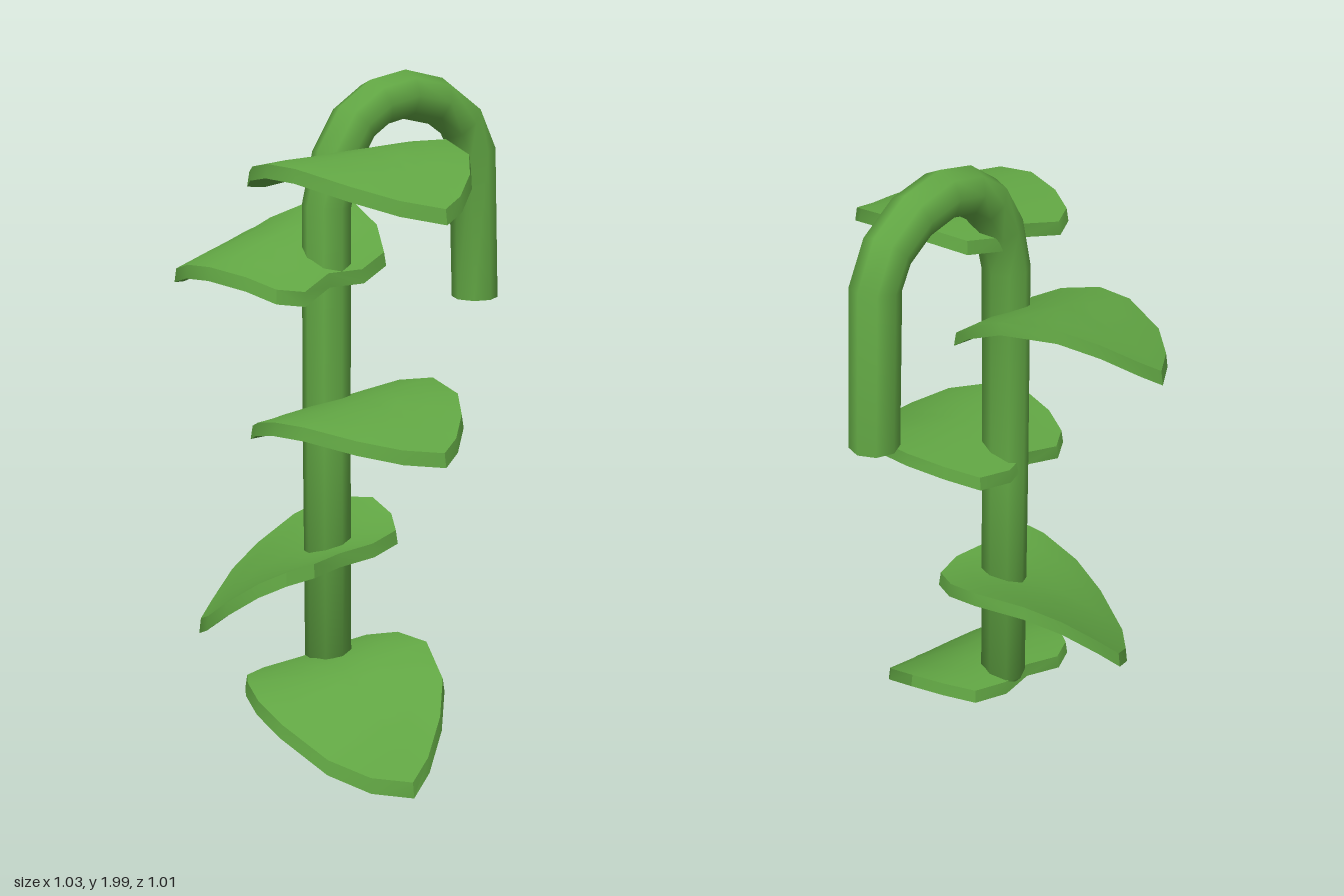
import * as THREE from 'three';
import { toCreasedNormals } from 'three/addons/utils/BufferGeometryUtils.js';

// Skins a list of closed rings of points; collapsed triangles are skipped.
function loft(rings, flip, crease) {
  const pos = [];
  const area = new THREE.Triangle();
  const tri = (a, b, c) => {
    if (area.set(a, b, c).getArea() < 1e-9) return;
    for (const p of flip ? [a, c, b] : [a, b, c]) pos.push(p.x, p.y, p.z);
  };
  for (let k = 0; k < rings.length - 1; k++) {
    const lo = rings[k], hi = rings[k + 1], n = lo.length;
    for (let i = 0; i < n; i++) {
      const j = (i + 1) % n;
      tri(lo[i], lo[j], hi[j]);
      tri(lo[i], hi[j], hi[i]);
    }
  }
  const geo = new THREE.BufferGeometry();
  geo.setAttribute('position', new THREE.Float32BufferAttribute(pos, 3));
  return toCreasedNormals(geo, crease);
}

const STEM_X = -0.025, STEM_Z = 0.155;

// Stem centre line with radius: [z, y, r], from the pointed foot to the cut hook end
const STEM = [
  [0.155, 0.195, 0], [0.155, 0.235, 0.04], [0.155, 0.27, 0.07], [0.155, 1.0, 0.07],
  [0.15, 1.64, 0.07], [0.115, 1.77, 0.07], [0.05, 1.865, 0.07], [-0.035, 1.915, 0.07],
  [-0.14, 1.932, 0.07], [-0.26, 1.905, 0.07], [-0.36, 1.84, 0.07], [-0.41, 1.75, 0.07],
  [-0.43, 1.3001, 0.07], [-0.43, 1.3, 0],
];

function stemGeometry() {
  const last = STEM.length - 1, sides = 8;
  const rings = STEM.map(([z, y, r], k) => {
    const a = STEM[Math.max(k - 1, 0)], b = STEM[Math.min(k + 1, last)];
    const t = new THREE.Vector2(b[0] - a[0], b[1] - a[1]).normalize();
    if (k >= last - 1) t.set(0, -1);
    return Array.from({ length: sides }, (_, i) => {
      const ang = (i / sides) * Math.PI * 2, s = Math.sin(ang) * r;
      return new THREE.Vector3(STEM_X + Math.cos(ang) * r, y + t.x * s, z - t.y * s);
    });
  });
  return loft(rings, false, 1.0);
}

// Leaf outline seen from above: u runs from stem to tip, v across
const OUTLINE = [
  [-0.065, 0.165], [-0.035, 0.245], [0.04, 0.29], [0.155, 0.325],
  [0.265, 0.315], [0.405, 0.245], [0.485, 0.145], [0.535, 0.025],
  [0.505, -0.055], [0.435, -0.155], [0.345, -0.235], [0.195, -0.285],
  [0.075, -0.26], [-0.015, -0.2], [-0.045, -0.08], [-0.03, 0.04],
];
const CENTRE = [0.2, 0.02];

// Cross-section from under-centre, out round the rim, back to top-centre: [reach, top?]
const SECTION = [
  [0, 0], [0.35, 0], [0.7, 0], [1, 0], [0.98, 1], [0.7, 1], [0.35, 1], [0, 1],
];

function leafGeometry({ side, length, width, shift, rise, drop, roll, twist, thick }) {
  const rings = SECTION.map(([t, top]) => OUTLINE.map(([ou, ov]) => {
    const u = (CENTRE[0] + (ou - CENTRE[0]) * t) * length + shift;
    const v = (CENTRE[1] + (ov - CENTRE[1]) * t) * width;
    const y = rise * u - drop * u * u + (roll + twist * u) * v;
    return new THREE.Vector3(side * u, y - (top ? 0 : thick), v);
  }));
  return loft(rings, side < 0, 0.6);
}

// Leaves from top to bottom, alternating sides
const LEAVES = [
  { side: 1, y: 1.775, dz: 0, yaw: 0, length: 1, width: 1, shift: 0,
    rise: 0.41, drop: 1.04, roll: -0.03, twist: 0, thick: 0.037 },
  { side: -1, y: 1.505, dz: 0.01, yaw: 0.08, length: 1, width: 1, shift: -0.04,
    rise: 0.5, drop: 1.32, roll: -0.1, twist: -0.5, thick: 0.037 },
  { side: 1, y: 1.07, dz: 0, yaw: 0.1, length: 0.96, width: 1, shift: -0.025,
    rise: 0.43, drop: 1.1, roll: -0.03, twist: 0, thick: 0.037 },
  { side: -1, y: 0.63, dz: 0.03, yaw: 0.03, length: 0.95, width: 1, shift: -0.11,
    rise: -0.25, drop: 0.35, roll: -0.235, twist: -1.42, thick: 0.042 },
  { side: 1, y: 0.29, dz: 0.025, yaw: -0.04, length: 0.92, width: 0.99, shift: -0.02,
    rise: 0.2, drop: 1.48, roll: -0.05, twist: -0.25, thick: 0.04 },
];

export function createModel() {
  const green = new THREE.MeshStandardMaterial({ color: 0x62a744 });
  green.name = 'leafGreen';

  const model = new THREE.Group();
  model.name = 'hookedVine';

  const stem = new THREE.Mesh(stemGeometry(), green);
  stem.name = 'stem';
  model.add(stem);

  LEAVES.forEach((spec, i) => {
    const leaf = new THREE.Mesh(leafGeometry(spec), green);
    leaf.name = `leaf${i + 1}`;
    leaf.position.set(STEM_X, spec.y, STEM_Z + spec.dz);
    leaf.rotation.y = spec.yaw;
    model.add(leaf);
  });
  return model;
}
